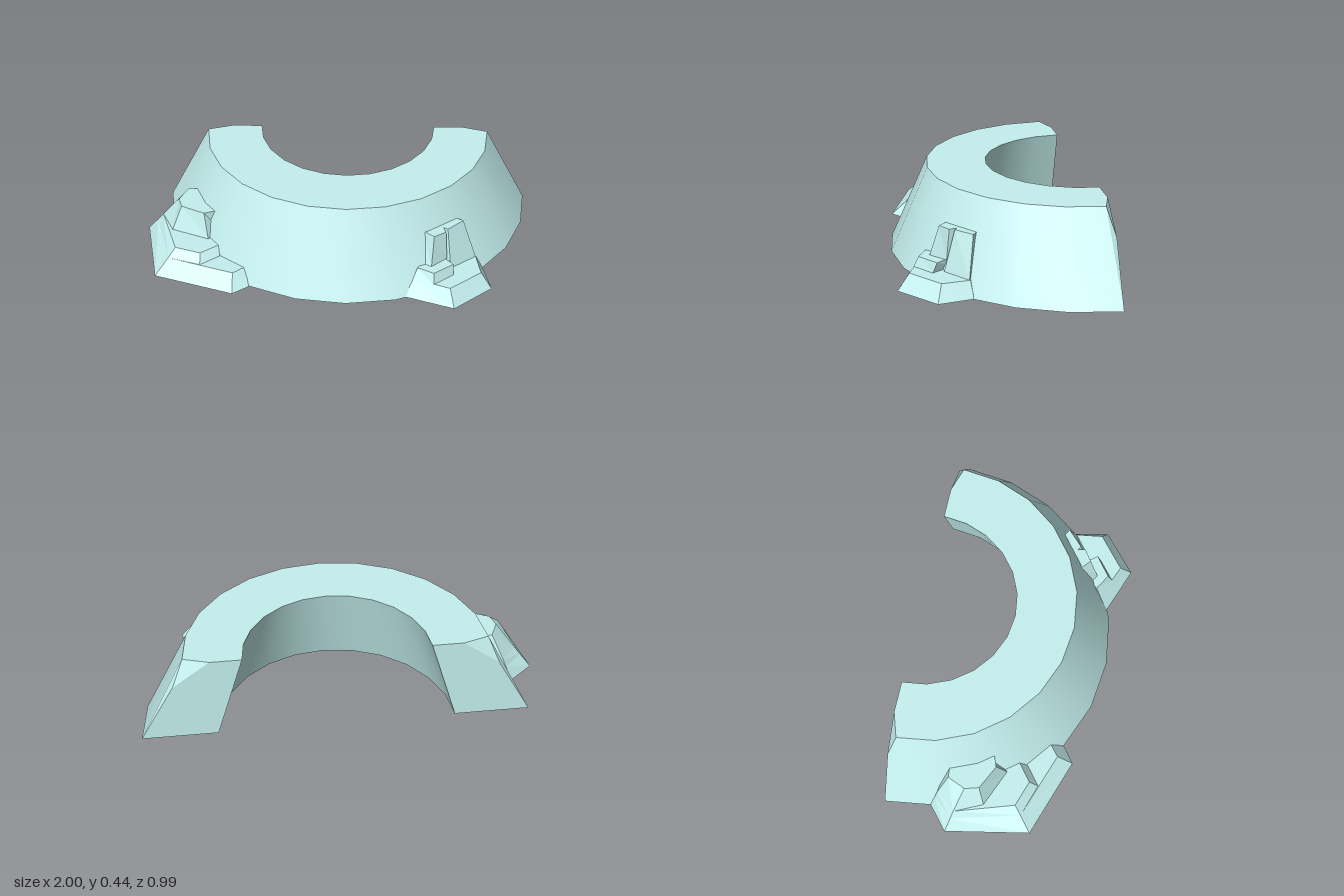
import * as THREE from 'three';
import { toCreasedNormals } from 'three/addons/utils/BufferGeometryUtils.js';

const material = new THREE.MeshStandardMaterial({ color: 0xc4f0ee });

// Flat list of corner points -> geometry
function fromTriangles(tris) {
  const g = new THREE.BufferGeometry();
  g.setAttribute('position', new THREE.Float32BufferAttribute(tris.flat(), 3));
  g.computeVertexNormals();
  return g;
}

// Half ring with sloping walls, swept through cross-sections
function ringGeometry() {
  const cx = 0.045, back = -0.5, h = 0.435, steps = 12;
  const tris = [];
  const poly = (pts, flip = false) => {
    const p = flip ? [...pts].reverse() : pts;
    for (let i = 1; i < p.length - 1; i++) tris.push(p[0], p[i], p[i + 1]);
  };
  const sections = [];
  for (let i = 0; i <= steps; i++) {
    const a = (i / steps) * Math.PI;
    const at = (rx, rz, cz, y) => [cx + rx * Math.cos(a), y, cz + rz * Math.sin(a)];
    sections.push([
      at(0.735, 0.73, -0.46, h),    // outer top
      at(0.455, 0.47, back, h),     // inner top
      at(0.585, 0.595, back, 0),    // inner bottom
      at(0.957, 0.957, back, 0),    // outer bottom
    ]);
  }
  for (let i = 0; i < steps; i++) {
    const s = sections[i], t = sections[i + 1];
    for (let k = 0; k < 4; k++) {
      const n = (k + 1) % 4;
      // Chipped ends fill their own outer wall and top below
      poly([s[k], s[n], t[n], t[k]]);
    }
  }
  // Cut ends with a chipped outer top corner
  for (const side of [1, -1]) {
    const [ot, it, ib, ob] = sections[side > 0 ? 0 : steps];
    const p = [cx + side * 0.61, h, back];
    const q = [cx + side * 0.79, 0.3, back];
    const flip = side < 0;
    poly([ob, ib, it, p, q], flip);
    poly([p, ot, q], flip);
    poly([it, ot, p], flip);
    poly([ob, q, ot], flip);
  }
  return toCreasedNormals(fromTriangles(tris), 0.45);
}

// Tapered rock block between two matching [x, z] outlines
function blockGeometry(y0, lower, y1, upper) {
  const v = (list) => list.map(([x, z]) => new THREE.Vector2(x, z));
  if (THREE.ShapeUtils.area(v(lower)) < 0) {
    lower = [...lower].reverse();
    upper = [...upper].reverse();
  }
  const lo = lower.map(([x, z]) => [x, y0, z]);
  const up = upper.map(([x, z]) => [x, y1, z]);
  const tris = [];
  for (let i = 0; i < lo.length; i++) {
    const j = (i + 1) % lo.length;
    tris.push(lo[i], up[i], up[j], lo[i], up[j], lo[j]);
  }
  for (const [a, b, c] of THREE.ShapeUtils.triangulateShape(v(upper), [])) tris.push(up[a], up[c], up[b]);
  for (const [a, b, c] of THREE.ShapeUtils.triangulateShape(v(lower), [])) tris.push(lo[a], lo[b], lo[c]);
  return fromTriangles(tris);
}

// Stepped outcrops; each block is [name, y0, outline, y1, outline]
const rightOutcrop = [
  ['outcropBase',
    0, [[-1, -0.17], [-0.92, 0.25], [-0.52, 0.39], [-0.44, 0.33], [-0.6, 0.1], [-0.65, -0.2], [-0.88, -0.27]],
    0.07, [[-0.945, -0.15], [-0.855, 0.19], [-0.52, 0.31], [-0.46, 0.26], [-0.6, 0.1], [-0.65, -0.2], [-0.85, -0.25]]],
  ['outcropLedge',
    0.07, [[-0.945, -0.15], [-0.855, 0.19], [-0.69, 0.245], [-0.595, 0.17], [-0.6, 0], [-0.65, -0.2], [-0.85, -0.25]],
    0.11, [[-0.915, -0.14], [-0.82, 0.155], [-0.69, 0.2], [-0.6, 0.13], [-0.6, 0], [-0.65, -0.2], [-0.835, -0.24]]],
  ['outcropPeak',
    0.11, [[-0.915, -0.14], [-0.85, 0], [-0.66, 0.08], [-0.6, 0], [-0.65, -0.2], [-0.835, -0.24]],
    0.235, [[-0.82, -0.1], [-0.8, -0.03], [-0.68, 0.03], [-0.6, 0], [-0.65, -0.2], [-0.78, -0.19]]],
];
const leftOutcrop = [
  ['outcropBase',
    0, [[0.34, 0.4], [0.58, 0.49], [0.775, 0.325], [0.74, 0.15], [0.5, 0.1]],
    0.08, [[0.38, 0.355], [0.56, 0.43], [0.72, 0.3], [0.7, 0.16], [0.5, 0.1]]],
  ['outcropLedge',
    0.08, [[0.38, 0.355], [0.48, 0.4], [0.58, 0.32], [0.5, 0.2]],
    0.13, [[0.4, 0.33], [0.48, 0.375], [0.58, 0.3], [0.5, 0.2]]],
  ['outcropPillar',
    0.13, [[0.4, 0.28], [0.47, 0.32], [0.55, 0.25], [0.5, 0.1]],
    0.28, [[0.43, 0.23], [0.48, 0.275], [0.54, 0.235], [0.5, 0.1]]],
  ['outcropPeak',
    0.08, [[0.5, 0.24], [0.57, 0.265], [0.7, 0.165], [0.5, 0.05]],
    0.28, [[0.5, 0.18], [0.55, 0.21], [0.63, 0.135], [0.5, 0.05]]],
];

function outcrop(name, blocks) {
  const group = new THREE.Group();
  group.name = name;
  for (const [part, ...shape] of blocks) {
    const mesh = new THREE.Mesh(blockGeometry(...shape), material);
    mesh.name = part;
    group.add(mesh);
  }
  return group;
}

export function createModel() {
  const model = new THREE.Group();
  model.name = 'curvedRockWall';
  const ring = new THREE.Mesh(ringGeometry(), material);
  ring.name = 'halfRingWall';
  model.add(ring, outcrop('rightOutcrop', rightOutcrop), outcrop('leftOutcrop', leftOutcrop));
  return model;
}
